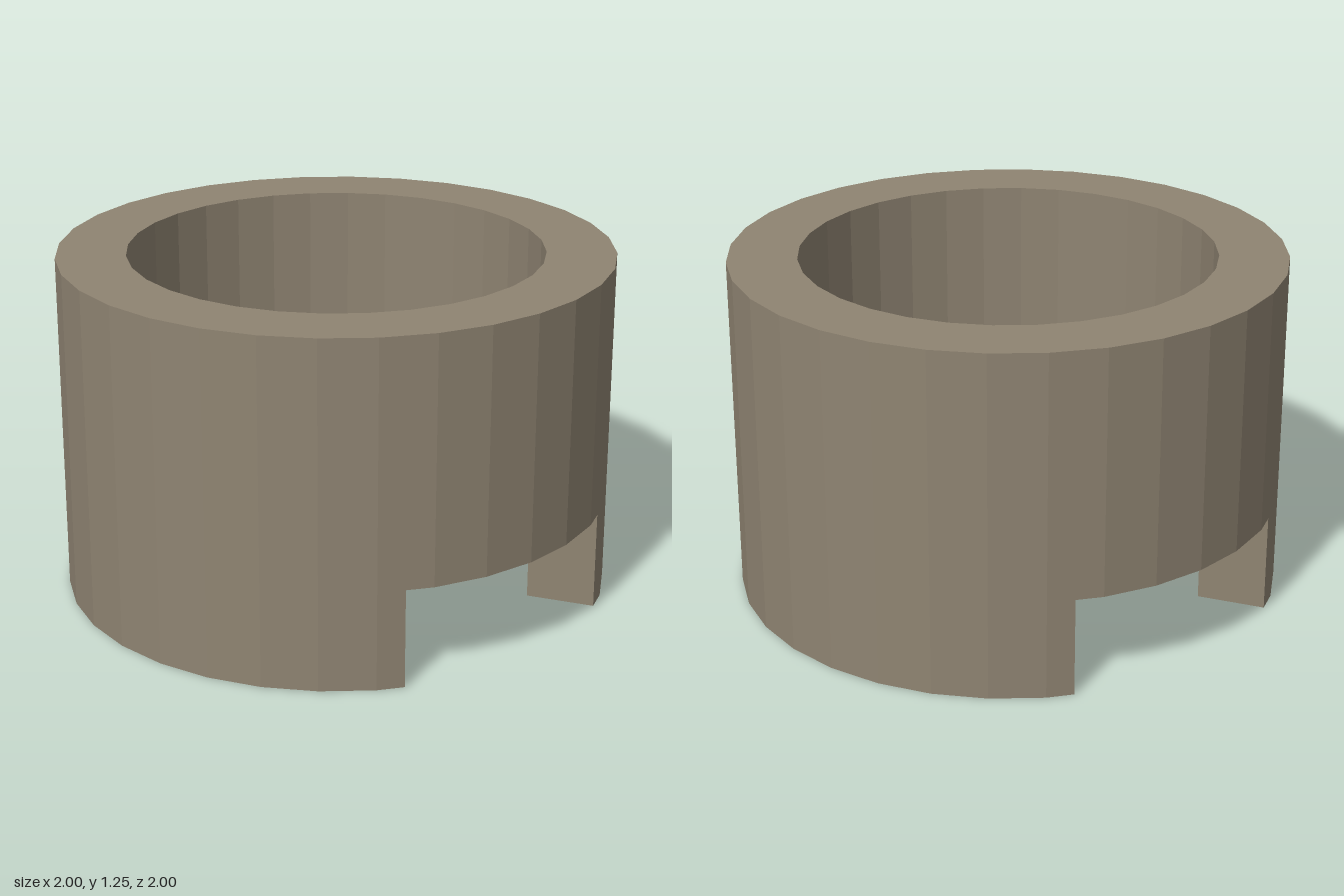
import * as THREE from 'three';

const SIDES = 32, OUTER = 1, INNER = 0.75, HEIGHT = 1.25, NOTCH = 0.36;
const STEP = (Math.PI * 2) / SIDES;

// Point on the 32-sided polygon; t counts sides and may fall mid-side
function ringPoint(t, radius, y) {
  const i = Math.floor(t), f = t - i;
  const mix = (fn) => radius * (fn(i * STEP) * (1 - f) + fn((i + 1) * STEP) * f);
  return [mix(Math.cos), y, mix(Math.sin)];
}

// Notches are centred on +x and -x, two and a half sides to each way
function inNotch(t) {
  const d = t % (SIDES / 2);
  return d < 2.5 || d > SIDES / 2 - 2.5;
}

function collarGeometry() {
  const pos = [];
  const quad = (a, b, c, d) => pos.push(...a, ...b, ...c, ...a, ...c, ...d);

  // Half-side steps, so notch ends land exactly on a step
  for (let k = 0; k < SIDES * 2; k++) {
    const t0 = k / 2, t1 = t0 + 0.5;
    const cut = inNotch(t0 + 0.25);
    const base = cut ? NOTCH : 0;
    const o = (t, y) => ringPoint(t, OUTER, y);
    const n = (t, y) => ringPoint(t, INNER, y);

    // Outer wall, bore, top rim, underside
    quad(o(t0, base), o(t0, HEIGHT), o(t1, HEIGHT), o(t1, base));
    quad(n(t1, base), n(t1, HEIGHT), n(t0, HEIGHT), n(t0, base));
    quad(n(t0, HEIGHT), n(t1, HEIGHT), o(t1, HEIGHT), o(t0, HEIGHT));
    quad(o(t0, base), o(t1, base), n(t1, base), n(t0, base));

    // Radial walls at the notch ends
    if (!cut && inNotch(t0 - 0.25 + SIDES)) quad(n(t0, 0), n(t0, NOTCH), o(t0, NOTCH), o(t0, 0));
    if (!cut && inNotch(t1 + 0.25)) quad(o(t1, 0), o(t1, NOTCH), n(t1, NOTCH), n(t1, 0));
  }

  const geometry = new THREE.BufferGeometry();
  geometry.setAttribute('position', new THREE.Float32BufferAttribute(pos, 3));
  geometry.computeVertexNormals(); // unshared vertices give flat facets
  return geometry;
}

export function createModel() {
  const model = new THREE.Group();
  model.name = 'notchedCollar';

  const material = new THREE.MeshStandardMaterial({ color: 0x8f8472 });
  material.name = 'taupe';

  const collar = new THREE.Mesh(collarGeometry(), material);
  collar.name = 'collar';
  model.add(collar);
  return model;
}
